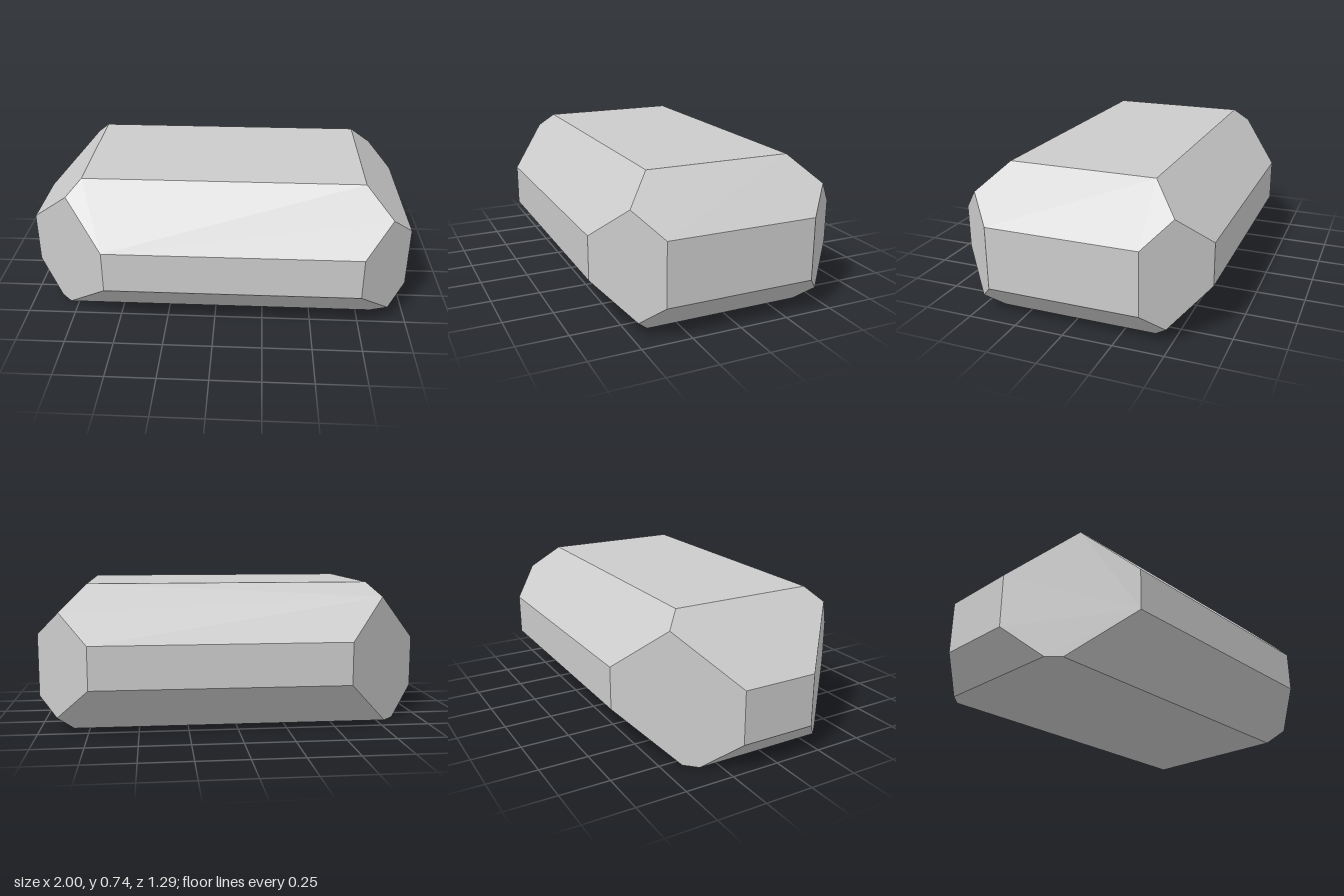
import * as THREE from 'three';

// Convex solid bounded by planes [nx, ny, nz, d] with n.p <= d
function solidFromPlanes(list) {
  const planes = list.map(([x, y, z, d]) => ({ n: new THREE.Vector3(x, y, z), d }));
  const corners = [];

  // Corners: intersections of three planes that lie inside all the others
  for (let i = 0; i < planes.length; i++)
    for (let j = i + 1; j < planes.length; j++)
      for (let k = j + 1; k < planes.length; k++) {
        const [a, b, c] = [planes[i], planes[j], planes[k]];
        const bc = b.n.clone().cross(c.n);
        const det = a.n.dot(bc);
        if (Math.abs(det) < 1e-6) continue;
        const p = bc.multiplyScalar(a.d)
          .addScaledVector(c.n.clone().cross(a.n), b.d)
          .addScaledVector(a.n.clone().cross(b.n), c.d)
          .divideScalar(det);
        if (planes.some((q) => q.n.dot(p) > q.d + 1e-5)) continue;
        if (!corners.some((q) => q.distanceTo(p) < 1e-4)) corners.push(p);
      }

  // Facets: corners on each plane, sorted around its normal and fanned
  const positions = [];
  for (const { n, d } of planes) {
    const ring = corners.filter((p) => Math.abs(n.dot(p) - d) < 1e-4);
    if (ring.length < 3) continue;
    const centre = ring.reduce((s, p) => s.add(p), new THREE.Vector3()).divideScalar(ring.length);
    const u = ring[0].clone().sub(centre).normalize();
    const v = n.clone().normalize().cross(u);
    const angle = (p) => {
      const r = p.clone().sub(centre);
      return Math.atan2(r.dot(v), r.dot(u));
    };
    ring.sort((p, q) => angle(p) - angle(q));
    for (let i = 1; i < ring.length - 1; i++)
      for (const p of [ring[0], ring[i], ring[i + 1]]) positions.push(p.x, p.y, p.z);
  }
  const geometry = new THREE.BufferGeometry();
  geometry.setAttribute('position', new THREE.Float32BufferAttribute(positions, 3));
  geometry.computeVertexNormals();
  return geometry;
}

export function createModel() {
  const group = new THREE.Group();
  group.name = 'chamferedStone';

  // Box faces and the chamfers across the two end tops and bottoms
  const planes = [
    [1, 0, 0, 1], [-1, 0, 0, 1], [0, 1, 0, 0.735], [0, -1, 0, 0],
    [1, 1, 0, 1.485], [-1, 1, 0, 1.415], [1, -1, 0, 0.83], [-1, -1, 0, 0.855],
  ];
  // Front and back sides with their long and upright chamfers
  for (const s of [1, -1])
    planes.push(
      [0, 0, s, 0.645], [0, 1, s, 1.105], [0, -1, s, 0.4],
      [1, 0, s, 1.38], [-1, 0, s, 1.195],
    );

  const stone = new THREE.Mesh(
    solidFromPlanes(planes),
    new THREE.MeshStandardMaterial({ color: 0xcccccc, flatShading: true }),
  );
  stone.name = 'stone';
  group.add(stone);
  return group;
}
